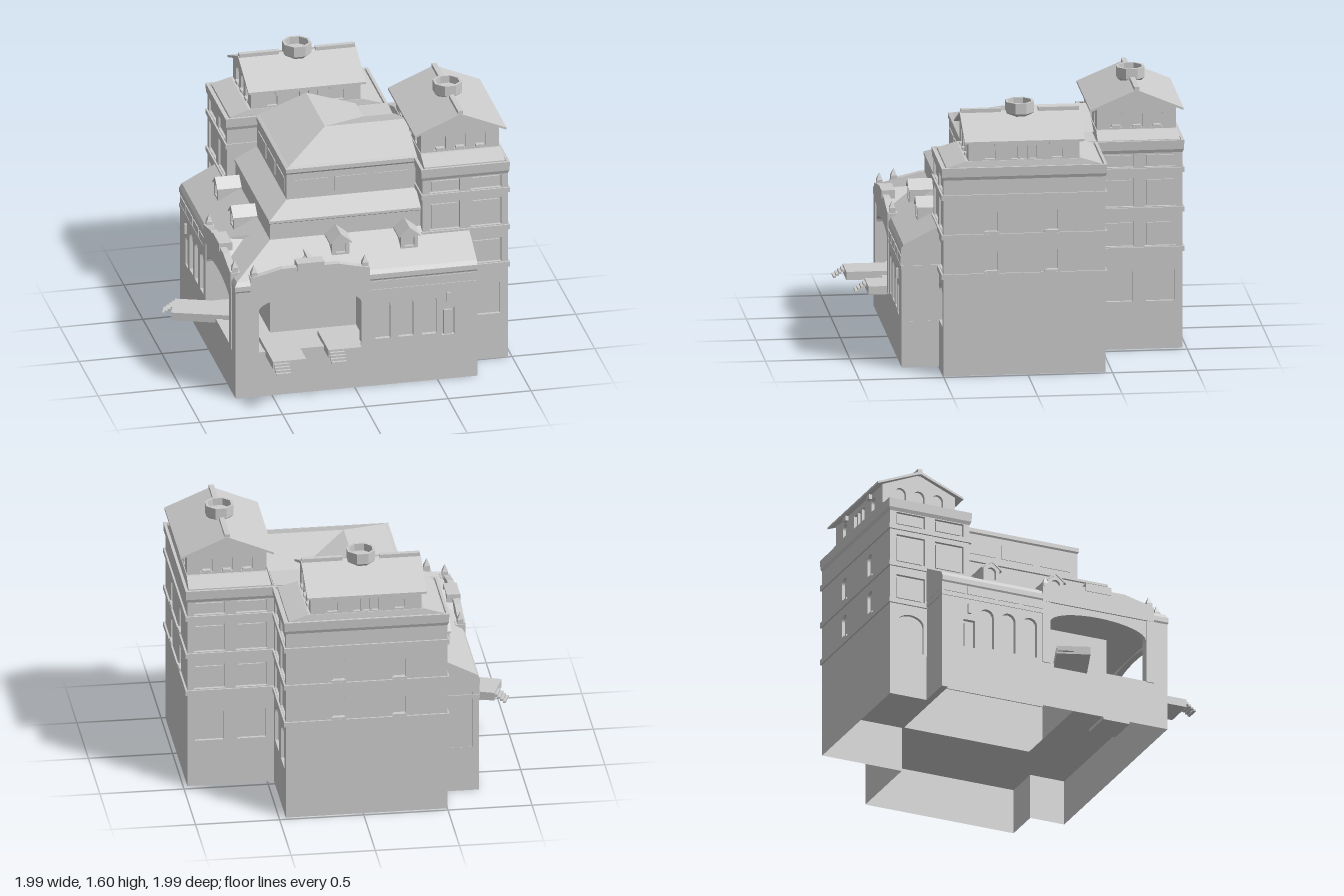
import * as THREE from 'three';

const mat = new THREE.MeshStandardMaterial({ color: 0xcccccc, flatShading: true, side: THREE.DoubleSide });

// Skin through rings of [x, y, z] points, with optional end caps
function loft(rings, capStart = false, capEnd = false) {
  const pos = [], n = rings[0].length;
  const tri = (a, b, c) => pos.push(...a, ...b, ...c);
  for (let r = 0; r + 1 < rings.length; r++) {
    for (let i = 0; i < n; i++) {
      const j = (i + 1) % n, p = rings[r], q = rings[r + 1];
      tri(p[i], p[j], q[j]);
      tri(p[i], q[j], q[i]);
    }
  }
  const first = rings[0], last = rings[rings.length - 1];
  for (let i = 1; i + 1 < n; i++) {
    if (capStart) tri(first[0], first[i + 1], first[i]);
    if (capEnd) tri(last[0], last[i], last[i + 1]);
  }
  const g = new THREE.BufferGeometry();
  g.setAttribute('position', new THREE.Float32BufferAttribute(pos, 3));
  g.computeVertexNormals();
  return g;
}

const rect = (x0, x1, z0, z1, y) => [[x0, y, z1], [x1, y, z1], [x1, y, z0], [x0, y, z0]];

// Box from its limits
function block(x0, x1, y0, y1, z0, z1) {
  return new THREE.BoxGeometry(x1 - x0, y1 - y0, z1 - z0)
    .translate((x0 + x1) / 2, (y0 + y1) / 2, (z0 + z1) / 2);
}

// Opening with a rounded head; rise 0 gives a plain rectangle
function opening(cx, y0, w, y1, rise = 0) {
  const p = new THREE.Path(), h = w / 2;
  p.moveTo(cx - h, y0).lineTo(cx + h, y0).lineTo(cx + h, y1 - rise);
  if (rise) p.absellipse(cx, y1 - rise, h, rise, 0, Math.PI, false);
  else p.lineTo(cx - h, y1);
  p.lineTo(cx - h, y0);
  return p;
}

function slab(points, depth, holes = []) {
  const s = new THREE.Shape(points.map(p => new THREE.Vector2(...p)));
  s.holes.push(...holes);
  return new THREE.ExtrudeGeometry(s, { depth, bevelEnabled: false, curveSegments: 8 });
}

const wallShape = (x0, x1, y0, y1) => [[x0, y0], [x1, y0], [x1, y1], [x0, y1]];

function add(group, name, geo, x = 0, y = 0, z = 0, ry = 0) {
  const mesh = new THREE.Mesh(geo.rotateY(ry).translate(x, y, z), mat);
  mesh.name = name;
  group.add(mesh);
}

// Copy of a group reflected across the plan diagonal: (x, z) -> (-z, -x)
function mirrorDiagonal(group) {
  const out = new THREE.Group();
  for (const m of group.children) {
    const g = m.geometry.index ? m.geometry.toNonIndexed() : m.geometry.clone();
    const p = g.attributes.position;
    for (let i = 0; i < p.count; i += 3) {
      const v = [0, 2, 1].map(k => [-p.getZ(i + k), p.getY(i + k), -p.getX(i + k)]);
      v.forEach((c, k) => p.setXYZ(i + k, ...c));
    }
    g.computeVertexNormals();
    add(out, m.name, g);
  }
  return out;
}

function buildTower() {
  const t = new THREE.Group(), cx = 0.72, cz = 0.02;
  add(t, 'towerCore', loft([rect(0.46, 0.955, -0.44, 0.48, 0.28), rect(0.46, 0.955, -0.44, 0.48, 1.22)]));

  // End walls with paired windows
  for (const [z, ry] of [[0.48, 0], [-0.44, Math.PI]]) {
    const holes = [];
    for (const s of [-0.125, 0.125]) {
      holes.push(opening(s, 0.29, 0.17, 0.53, 0.06), opening(s, 0.625, 0.185, 0.78),
        opening(s, 0.865, 0.185, 1.04), opening(s, 1.105, 0.185, 1.185));
      for (const [a, b] of [[0.635, 0.765], [0.875, 1.025], [1.115, 1.175]])
        add(t, 'windowPane', block(s - 0.08, s + 0.08, a, b, 0, 0.01), cx, 0, z, ry);
    }
    add(t, 'towerEndWall', slab(wallShape(-0.257, 0.257, 0.28, 1.22), 0.02, holes), 0.718, 0, z, ry);
  }

  // Long outer wall with small arched windows and sills
  const slots = [];
  for (const s of [-0.195, 0.165]) for (const y of [0.635, 0.875]) {
    slots.push(opening(s, y, 0.07, y + 0.145, 0.035));
    add(t, 'windowSill', block(s - 0.045, s + 0.045, y - 0.015, y, 0, 0.03), 0.955, 0, cz, Math.PI / 2);
  }
  add(t, 'towerSideWall', slab(wallShape(-0.46, 0.46, 0.28, 1.22), 0.02, slots), 0.955, 0, cz, Math.PI / 2);

  // String courses and flared parapet around the terrace
  for (const y of [0.59, 0.83, 1.07]) add(t, 'stringCourse', block(0.452, 0.986, y, y + 0.03, -0.471, 0.511));
  const ring = (o, y) => rect(0.46 - o, 0.975 + o, -0.46 - o, 0.5 + o, y);
  add(t, 'parapet', loft([ring(0, 1.19), ring(0.008, 1.21), ring(0.011, 1.265), ring(-0.006, 1.265), ring(-0.008, 1.25)], false, true));

  // Belvedere on its sloped footing
  add(t, 'belvedereFooting', loft([rect(0.475, 0.965, -0.44, 0.48, 1.25), rect(0.475, 0.965, -0.44, 0.48, 1.265),
    rect(0.48, 0.96, -0.325, 0.365, 1.3)], false, true));
  add(t, 'belvedereCore', block(cx - 0.215, cx + 0.215, 1.3, 1.42, cz - 0.31, cz + 0.31));
  const gable = [[-0.235, 1.29], [0.235, 1.29], [0.235, 1.425], [0, 1.525], [-0.235, 1.425]];
  for (const [z, ry] of [[cz + 0.31, 0], [cz - 0.31, Math.PI]]) {
    const arches = [-0.12, 0, 0.12].map(s => opening(s, 1.31, 0.07, 1.42, 0.035));
    add(t, 'belvedereGable', slab(gable, 0.02, arches), cx, 0, z, ry);
    for (const s of [-0.12, 0, 0.12]) add(t, 'belvedereSill', block(s - 0.025, s + 0.025, 1.31, 1.325, 0, 0.03), cx, 0, z, ry);
  }
  for (const s of [1, -1]) {
    const bays = [-0.055, 0, 0.055].map(u => opening(u, 1.305, 0.04, 1.385));
    bays.push(...[-0.2, 0.2].map(u => opening(u, 1.31, 0.06, 1.39, 0.03)));
    add(t, 'belvedereSide', slab(wallShape(-0.31, 0.31, 1.29, 1.42), 0.02, bays), cx + s * 0.215, 0, cz, s * Math.PI / 2);
    for (const u of [-0.16, 0.17]) add(t, 'eaveBracket', block(u - 0.018, u + 0.018, 1.39, 1.42, 0.015, 0.04), cx + s * 0.215, 0, cz, s * Math.PI / 2);
    add(t, 'ridgeCap', block(cx - 0.015, cx + 0.015, 1.52, 1.558, cz + s * 0.23 - 0.12, cz + s * 0.23 + 0.12));
  }
  add(t, 'belvedereRoof', slab([[-0.277, 1.412], [0, 1.525], [0.277, 1.412], [0.277, 1.425], [0, 1.542], [-0.277, 1.425]], 0.71), cx, 0, cz - 0.355);

  // Octagonal cupola
  const profile = [[0.055, 1.49], [0.065, 1.515], [0.088, 1.535], [0.088, 1.6], [0.072, 1.6], [0.072, 1.555], [0, 1.555]];
  add(t, 'cupola', new THREE.LatheGeometry(profile.map(p => new THREE.Vector2(...p)), 8, Math.PI / 8), cx, 0, cz);
  return t;
}

function buildWing() {
  const w = new THREE.Group();
  // Front wall: wide porch arch, window niches and a door
  const holes = [opening(-0.27, 0.285, 0.62, 0.635, 0.085), opening(0.565, 0.285, 0.075, 0.46)];
  for (const x of [0.17, 0.31, 0.45]) holes.push(opening(x, 0.3, 0.09, 0.55, 0.045));
  add(w, 'wingWall', slab(wallShape(-0.72, 0.74, 0.28, 0.64), 0.04, holes), 0, 0, 0.68);
  add(w, 'wingRooms', block(0.07, 0.738, 0.28, 0.64, 0.45, 0.695));
  add(w, 'door', block(0.54, 0.59, 0.28, 0.44, 0.69, 0.71));
  add(w, 'lantern', block(0.555, 0.575, 0.5, 0.56, 0.715, 0.735));
  add(w, 'wingBand', block(0.06, 0.744, 0.595, 0.62, 0.5, 0.725));
  for (const [a, b] of [[0.09, 0.22], [0.245, 0.375], [0.4, 0.575], [0.59, 0.725]])
    add(w, 'friezePanel', block(a, b, 0.625, 0.675, 0.7, 0.725));

  // Entablature and lean-to roof, mitred at the corner
  const profile = [[0.45, 0.64], [0.72, 0.64], [0.72, 0.68], [0.725, 0.69], [0.725, 0.72], [0.71, 0.745], [0.45, 0.88]];
  add(w, 'wingRoof', loft([profile.map(([d, y]) => [0.74, y, d]), profile.map(([d, y]) => [-d, y, d])], true));

  // Porch pediment, its small roof, piers and finials
  add(w, 'porchPediment', slab([[-0.62, 0.675], [0.08, 0.675], [0.08, 0.775], [0, 0.79], [-0.1, 0.815], [-0.44, 0.815], [-0.54, 0.79], [-0.62, 0.775]], 0.04), 0, 0, 0.69);
  add(w, 'pedimentCap', block(-0.35, -0.185, 0.79, 0.84, 0.655, 0.735));
  add(w, 'porchRoof', loft([[[-0.44, 0.74, 0.7], [-0.1, 0.74, 0.7], [-0.27, 0.835, 0.7]], [[-0.27, 0.81, 0.52], [-0.27, 0.81, 0.52], [-0.27, 0.842, 0.52]]]));
  for (const x of [-0.605, 0.065]) {
    add(w, 'porchPier', block(x - 0.025, x + 0.025, 0.28, 0.77, 0.67, 0.727));
    add(w, 'finialBase', block(x - 0.018, x + 0.018, 0.77, 0.8, 0.682, 0.718));
    add(w, 'finial', new THREE.ConeGeometry(0.024, 0.045, 4).rotateY(Math.PI / 4), x, 0.8225, 0.7);
  }

  // Dormers
  for (const x of [-0.055, 0.36]) {
    add(w, 'dormer', slab([[-0.052, 0.78], [0.052, 0.78], [0.052, 0.89], [0, 0.93], [-0.052, 0.89]], 0.14,
      [opening(0, 0.82, 0.06, 0.895, 0.03)]), x, 0, 0.45);
    add(w, 'dormerWindow', block(-0.035, 0.035, 0.79, 0.9, 0, 0.12), x, 0, 0.45);
    add(w, 'dormerRoof', slab([[-0.066, 0.878], [0, 0.928], [0.066, 0.878], [0.066, 0.888], [0, 0.942], [-0.066, 0.888]], 0.147), x, 0, 0.45);
  }

  // Upper hall: panels and one arm of the L-shaped roof
  for (const x of [-0.17, 0.07, 0.31]) add(w, 'hallPanel', block(x - 0.1, x + 0.1, 1.1, 1.19, 0.3, 0.325));
  const arm = [[0.32, 1.265], [0.02, 1.38], [-0.28, 1.28]];
  add(w, 'hallRoof', loft([arm.map(([d, y]) => [0.47, y, d]), arm.map(([d, y]) => [-d, y, d])]));
  return w;
}

// Entrance platform with steps on its left-hand half; length runs along +z
function buildPlatform(length) {
  const p = new THREE.Group();
  add(p, 'platformDeck', block(-0.1, 0.1, 0.26, 0.31, 0, length));
  for (let i = 0; i < 4; i++)
    add(p, 'platformStep', block(-0.095, -0.005, 0.282 - i * 0.011, 0.298 - i * 0.013, length + i * 0.0165, length + (i + 1) * 0.0165));
  return p;
}

export function createModel() {
  const model = new THREE.Group();
  const put = (name, g) => { g.name = name; model.add(g); return g; };

  // Plinth walls and ground floor around the open middle
  const outline = [[-0.72, 0.72], [0.74, 0.72], [0.74, 0.5], [0.975, 0.5], [0.975, -0.46], [0.46, -0.46],
    [0.46, -0.975], [-0.5, -0.975], [-0.5, -0.74], [-0.72, -0.74]];
  const base = put('base', new THREE.Group());
  add(base, 'plinth', loft([0, 0.28].map(y => outline.map(([x, z]) => [x, y, z]))));
  const floor = new THREE.Shape(outline.map(([x, z]) => new THREE.Vector2(x, -z)));
  floor.holes.push(opening(0.045, -0.36, 0.81, 0.45));
  add(base, 'groundFloor', new THREE.ShapeGeometry(floor).rotateX(-Math.PI / 2), 0, 0.28, 0);

  // Central hall: tall lower wall, sloped skirt roof, upper wall and cornice
  const hall = put('hall', new THREE.Group());
  const steps = [[0.45, 0.28], [0.45, 0.98], [0.456, 0.985], [0.456, 1.0], [0.32, 1.07], [0.32, 1.23], [0.326, 1.24], [0.326, 1.265], [0.31, 1.27]];
  add(hall, 'hallBody', loft(steps.map(([e, y]) => rect(-e, 0.46, -0.46, e, y)), false, true));

  const tower = put('rightTower', buildTower());
  put('backTower', mirrorDiagonal(tower));
  const wing = put('frontWing', buildWing());
  put('sideWing', mirrorDiagonal(wing));

  const platforms = [[-0.44, 0.55, 0.375, 0], [-0.085, 0.55, 0.285, 0], [-0.56, 0.15, 0.4, -1.92]];
  for (const [x, z, length, ry] of platforms) {
    const p = put('entrancePlatform', buildPlatform(length));
    p.position.set(x, 0, z);
    p.rotation.y = ry;
  }
  return model;
}
